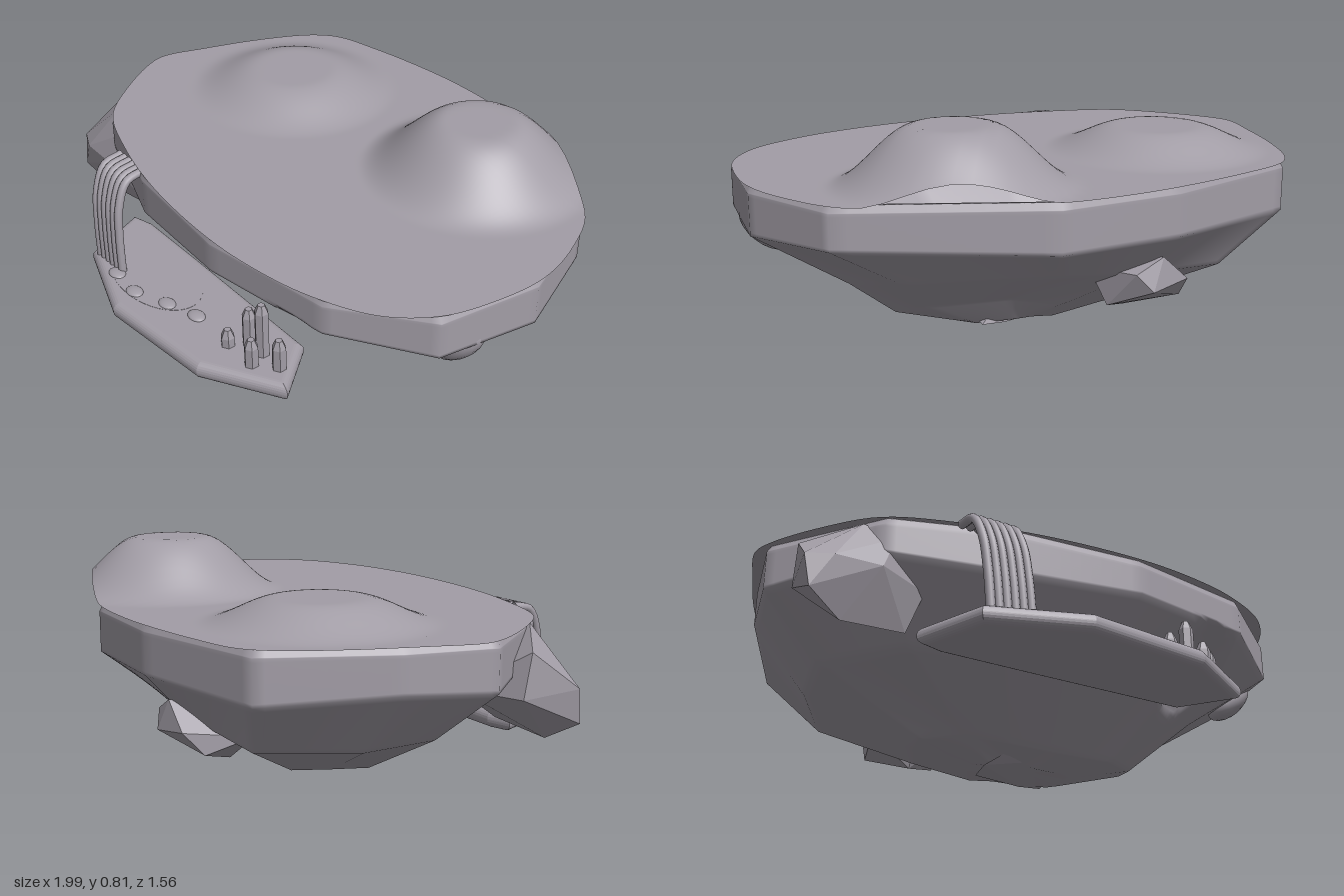
import * as THREE from 'three';
import { ConvexGeometry } from 'three/addons/geometries/ConvexGeometry.js';

const stone = new THREE.MeshStandardMaterial({ color: 0xa29da6, side: THREE.DoubleSide });
stone.name = 'grey stone';

const lerp = THREE.MathUtils.lerp;
const V = (x, y, z) => new THREE.Vector3(x, y, z);
const noise = (i, j) => { const s = Math.sin(i * 12.99 + j * 78.23) * 43758.5; return (s - Math.floor(s)) * 2 - 1; };

function add(parent, name, geometry, x = 0, y = 0, z = 0) {
  const mesh = new THREE.Mesh(geometry, stone);
  mesh.name = name;
  mesh.position.set(x, y, z);
  parent.add(mesh);
  return mesh;
}

// Surface of closed rings; at(row, column) gives each point
function ringSurface(rows, cols, at) {
  const pos = [], idx = [];
  for (let i = 0; i <= rows; i++) {
    for (let j = 0; j < cols; j++) {
      pos.push(...at(i, j));
      if (i === rows) continue;
      const k = (j + 1) % cols, a = i * cols + j, b = i * cols + k;
      idx.push(a, b, a + cols, b, b + cols, a + cols);
    }
  }
  const g = new THREE.BufferGeometry();
  g.setAttribute('position', new THREE.Float32BufferAttribute(pos, 3));
  g.setIndex(idx);
  g.computeVertexNormals();
  return g;
}

// Faceted rock: twelve corners, narrowing level by level, with a cave scooped from the front
function rockGeometry() {
  // x, z, how far the flank below is tucked in
  const corners = [[.99, -.08, .2], [.93, .28, 0], [.64, .5, 0], [.16, .575, 0], [-.3, .535, 0], [-.71, .4, 0],
    [-.98, .04, 0], [-.91, -.26, 0], [-.72, -.66, 0], [-.2, -.768, .4], [.23, -.75, 1], [.86, -.43, .7]];
  // y, x scale, z scale, x shift, z shift, unevenness
  const levels = [[.6, .9, .9, 0, 0, 0], [.616, .985, .985, 0, 0, 0], [.59, 1, 1, 0, 0, 0],
    [.465, 1, 1, 0, 0, .035], [.25, .74, .77, -.02, -.06, .02], [.07, .44, .33, .05, -.055, .02],
    [.022, .19, .16, .04, -.07, .015], [.04, 0, 0, .04, -.07, 0]];
  const n = 12;
  const corner = (l, c) => {
    const [y, sx, sz, dx, dz, u] = levels[l], k = c % 12, [x, z, tuck] = corners[k];
    const push = l > 3 ? u : 0, t = l === 4 || l === 5 ? tuck : 0;
    return V((x * sx + dx) * (1 - .1 * t) + push * noise(l, k), y + .08 * t + u * noise(k, l + 2) * .7,
      (z * sz + dz) * (1 - .1 * t) + push * noise(l + 9, k));
  };
  return ringSurface((levels.length - 1) * n, 12 * n, (i, j) => {
    const l = Math.min(Math.floor(i / n), levels.length - 2), c = Math.floor(j / n);
    const t = j / n - c;
    const p = corner(l, c).lerp(corner(l, c + 1), t)
      .lerp(corner(l + 1, c).lerp(corner(l + 1, c + 1), t), i / n - l);
    // Cave mouth follows the slope of the flank
    const dx = p.x - .495, dy = p.y - .355, r2 = .0225 - dx * dx - dy * dy;
    if (p.z > 0 && r2 > 0) p.z = Math.min(p.z, .43 + dy - .5 * dx - .8 * Math.sqrt(r2));
    p.y = Math.max(p.y, 0);
    return p.toArray();
  });
}

// Smooth ground sheet with two hills, cut off at the outline
function groundGeometry() {
  const outline = [[.99, -.1], [.975, .1], [.92, .28], [.8, .42], [.6, .515], [.4, .56], [.16, .578],
    [-.2, .55], [-.5, .48], [-.72, .39], [-.86, .24], [-.98, .05], [-1, -.03], [-.95, -.2], [-.87, -.42],
    [-.77, -.61], [-.68, -.69], [-.5, -.735], [-.25, -.77], [-.04, -.78], [.2, -.76], [.5, -.67], [.83, -.48], [.94, -.29]];
  const curve = new THREE.CatmullRomCurve3(outline.map(([x, z]) => V(x, 0, z)), true);
  const edge = curve.getPoints(144);
  const hill = (x, z, cx, cz, h, r0, r1) =>
    h * (1 - THREE.MathUtils.smoothstep(Math.hypot(x - cx, z - cz), r0, r1));
  return ringSurface(60, 144, (i, j) => {
    const x = edge[j].x * i / 60, z = lerp(-.1, edge[j].z, i / 60);
    return [x, .617 + hill(x, z, .415, -.39, .195, .12, .415) + hill(x, z, -.46, -.275, .082, .14, .4), z];
  });
}

const boulder = (points) => new ConvexGeometry(points.map((p) => V(...p)));

export function createModel() {
  const model = new THREE.Group();
  model.name = 'floatingIsland';
  add(model, 'rock', rockGeometry());
  add(model, 'ground', groundGeometry());

  // Boulders stuck in the sides
  add(model, 'frontBoulder', boulder([[-.965, .42, .38], [-.93, .55, .21], [-.76, .605, .34], [-.66, .56, .38],
    [-.545, .4, .36], [-.6, .25, .34], [-.83, .23, .36], [-.95, .3, .4], [-.72, .42, .425], [-.88, .42, .42],
    [-.93, .4, .18], [-.7, .4, .1]]));
  const side = add(model, 'sideBoulder', new THREE.SphereGeometry(1, 14, 10), .87, .41, .13);
  side.scale.set(.11, .055, .075);
  side.rotation.z = Math.PI / 4;
  add(model, 'backBoulder', boulder([[-.2, .36, -.69], [-.1, .31, -.68], [-.15, .25, -.71], [-.3, .27, -.69],
    [-.32, .19, -.62], [-.2, .13, -.47], [-.06, .18, -.57], [-.03, .3, -.5], [-.36, .24, -.46], [-.2, .3, -.4]]));
  add(model, 'bottomBoulder', boulder([[.05, .1, .1], [-.05, .06, .06], [.17, .06, .06], [.1, .015, -.16],
    [-.1, .01, -.12], [-.13, .005, 0], [.2, .03, -.18], [.05, .12, -.1]]));

  // Hanging ledge with rounded rim
  const ledge = new THREE.Group();
  ledge.name = 'ledge';
  model.add(ledge);
  const shape = new THREE.Shape([[-.555, -.43], [-.47, -.635], [-.16, -.745], [.27, -.705], [.515, -.565],
    [.4, -.42], [-.2, -.415], [-.5, -.415]].map(([x, y]) => new THREE.Vector2(x, y)));
  const slab = new THREE.ExtrudeGeometry(shape, { depth: .004, bevelThickness: .03, bevelSize: .03, bevelSegments: 6 });
  add(ledge, 'ledgeSlab', slab.rotateX(-Math.PI / 2), 0, .211, 0);
  const pool = add(ledge, 'pool', new THREE.CylinderGeometry(.22, .22, .006, 40), -.2, .243, .57);
  pool.scale.z = .6;
  for (const [x, z] of [[-.31, .665], [-.18, .675], [-.05, .625], [.07, .585]]) {
    const pebble = add(ledge, 'pebble', new THREE.SphereGeometry(.037, 20, 12), x, .245, z);
    pebble.scale.set(1, .3, .75);
  }

  // Pointed six-sided crystals: x, z, top
  for (const [x, z, top] of [[.26, .59, .31], [.3, .53, .39], [.37, .53, .45], [.39, .59, .35], [.46, .53, .36]]) {
    const r = .025, h = top - .225;
    const profile = [[r, 0], [r, h - .03], [r * .5, h], [0, h]].map(([a, b]) => new THREE.Vector2(a, b));
    const g = new THREE.LatheGeometry(profile, 6).toNonIndexed();
    g.computeVertexNormals();
    add(ledge, 'crystal', g, x, .225, z);
  }

  // Waterfall of parallel strands joined into a thin ribbon
  const waterfall = new THREE.Group();
  waterfall.name = 'waterfall';
  model.add(waterfall);
  const path = new THREE.CatmullRomCurve3([V(-.415, .6, .5), V(-.412, .585, .575),
    V(-.402, .5, .62), V(-.392, .38, .636), V(-.383, .235, .642)]);
  for (let i = 0; i < 6; i++) {
    add(waterfall, 'strand', new THREE.TubeGeometry(path, 24, .0155, 10), (i - 2.5) * .029, 0, 0);
  }
  return model;
}
